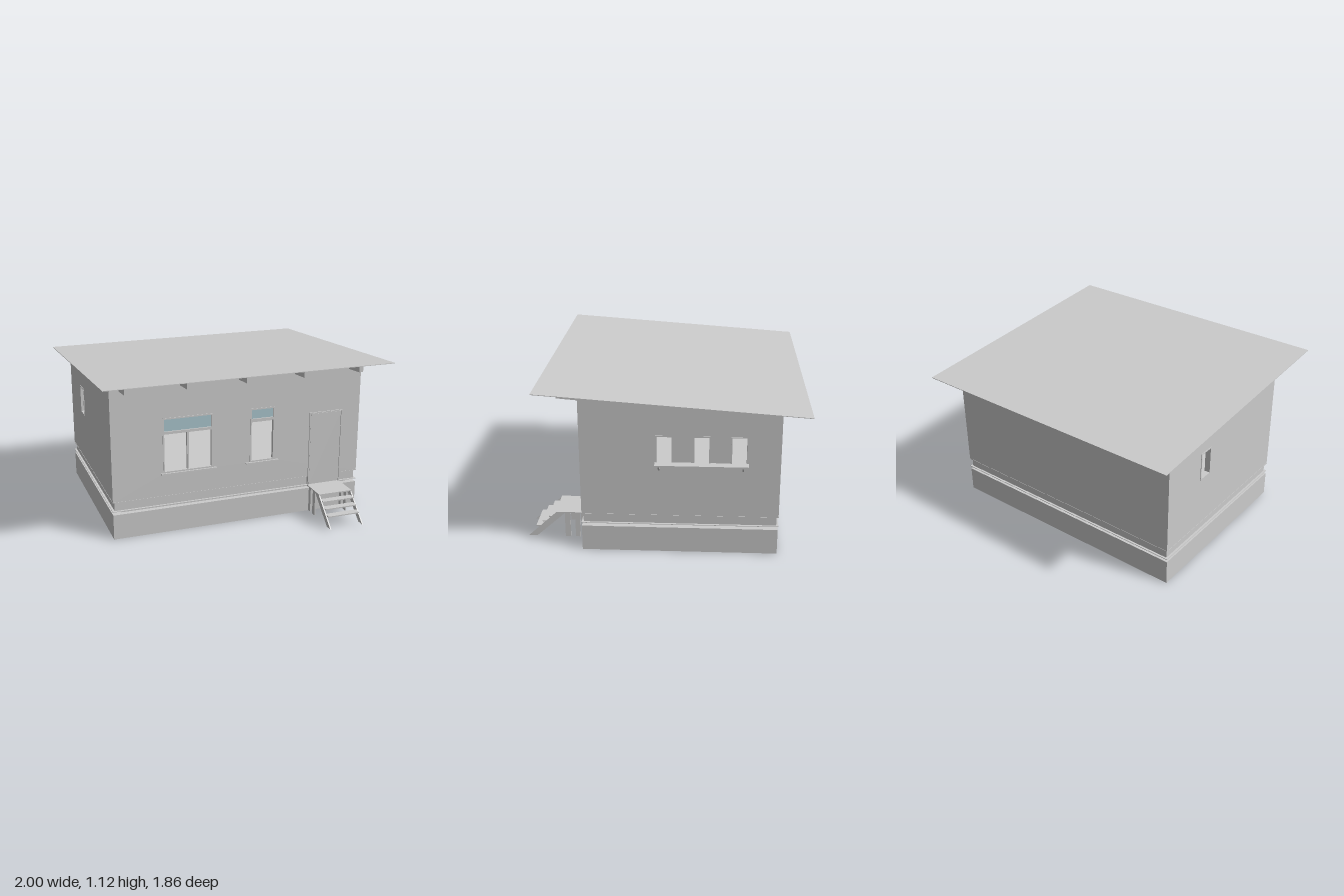
import * as THREE from 'three';

const grey = new THREE.MeshStandardMaterial({ color: 0xcccccc });
const glass = new THREE.MeshStandardMaterial({ color: 0xa9c4cc });

const X = 0.9, FRONT = 0.545, BACK = -0.745, T = 0.04, MIDZ = (FRONT + BACK) / 2;
const roofY = z => 1.12 - (0.82 - z) * 0.0716;

function add(parent, name, geometry, material = grey) {
  const mesh = new THREE.Mesh(geometry, material);
  mesh.name = name;
  parent.add(mesh);
  return mesh;
}

// box given by its limits
function box(parent, name, x0, x1, y0, y1, z0, z1, material) {
  const m = add(parent, name, new THREE.BoxGeometry(x1 - x0, y1 - y0, z1 - z0), material);
  m.position.set((x0 + x1) / 2, (y0 + y1) / 2, (z0 + z1) / 2);
  return m;
}

const rect = ([x0, x1, y0, y1]) => [[x0, y0], [x1, y0], [x1, y1], [x0, y1]];

// flat slab from an outline and rectangular openings
function slab(points, holes, depth) {
  const toVectors = p => p.map(([x, y]) => new THREE.Vector2(x, y));
  const shape = new THREE.Shape(toVectors(points));
  for (const h of holes) shape.holes.push(new THREE.Path(toVectors(rect(h)).reverse()));
  return new THREE.ExtrudeGeometry(shape, { depth, bevelEnabled: false });
}

// casing around an opening, outer face at z = 0 plus a small projection
function frame(parent, name, [x0, x1, y0, y1], w = 0.01, depth = 0.025) {
  const m = add(parent, name, slab(rect([x0, x1, y0, y1]), [[x0 + w, x1 - w, y0 + w, y1 - w]], depth));
  m.position.z = 0.004 - depth;
  return m;
}

function frontWindow(parent, name, o, transomY, sill, split) {
  const g = new THREE.Group();
  g.name = name;
  parent.add(g);
  const [x0, x1, y0, y1] = o;
  frame(g, 'windowFrame', o);
  box(g, 'transomBar', x0 + 0.01, x1 - 0.01, transomY - 0.018, transomY, -0.02, 0.002);
  box(g, 'transomGlass', x0 + 0.01, x1 - 0.01, transomY, y1 - 0.01, -0.012, -0.008, glass);
  if (split) {
    const c = (x0 + x1) / 2;
    box(g, 'mullion', c - 0.006, c + 0.006, y0, transomY - 0.018, -0.02, 0);
  }
  box(g, 'windowSill', sill[0], sill[1], y0 - 0.01, y0, -0.02, 0.015);
}

export function createModel() {
  const house = new THREE.Group();
  house.name = 'house';

  // stepped base
  box(house, 'foundation', -X, X, 0, 0.175, BACK + 0.002, FRONT);
  box(house, 'foundationGap', -0.835, 0.835, 0.17, 0.2, -0.705, 0.51);
  box(house, 'plinthBand', -0.887, 0.887, 0.2, 0.265, -0.733, 0.533);
  box(house, 'lowerDrip', -0.902, 0.902, 0.197, 0.201, -0.747, 0.547);
  box(house, 'upperDrip', -0.902, 0.902, 0.263, 0.267, -0.747, 0.547);

  // front and back walls
  const wide = [-0.55, -0.2, 0.43, 0.815], narrow = [0.07, 0.25, 0.43, 0.815];
  add(house, 'frontWall', slab(rect([-X, X, 0.265, roofY(FRONT - T) - 0.001]), [wide, narrow], T))
    .position.z = FRONT - T;
  box(house, 'backWall', -X, X, 0.265, roofY(BACK) - 0.001, BACK, BACK + T);

  // side walls, drawn with -z along the shape's x axis
  const z0 = FRONT - T, z1 = BACK + T;
  const sideOutline = [[-z0, 0.265], [-z1, 0.265], [-z1, roofY(z1) - 0.001], [-z0, roofY(z0) - 0.001]];
  const rightOpenings = [0, -0.24, -0.48].map(z => [-z - 0.055, -z + 0.055, 0.62, 0.825]);
  const leftOpening = [0.27, 0.385, 0.62, 0.825];
  const sideWall = (name, holes, x) => {
    const m = add(house, name, slab(sideOutline, holes, T));
    m.rotation.y = Math.PI / 2;
    m.position.x = x;
  };
  sideWall('windowSideWall', rightOpenings, X - T);
  sideWall('plainSideWall', [leftOpening], -X);

  // front windows
  const front = new THREE.Group();
  front.name = 'frontFittings';
  front.position.z = FRONT;
  house.add(front);
  frontWindow(front, 'wideWindow', wide, 0.72, [-0.565, -0.175], true);
  frontWindow(front, 'narrowWindow', narrow, 0.74, [0.04, 0.28], false);

  // door with jambs
  box(front, 'door', 0.525, 0.755, 0.205, 0.73, -0.02, 0.005);
  box(front, 'doorJamb', 0.515, 0.523, 0.2, 0.738, -0.02, 0.008);
  box(front, 'doorJamb', 0.757, 0.765, 0.2, 0.738, -0.02, 0.008);
  box(front, 'doorHead', 0.515, 0.765, 0.732, 0.74, -0.02, 0.008);

  // side window frames
  const right = new THREE.Group();
  right.name = 'servingSide';
  right.rotation.y = Math.PI / 2;
  right.position.x = X;
  house.add(right);
  for (const o of rightOpenings) frame(right, 'sideWindowFrame', o, 0.008, 0.03);
  const left = new THREE.Group();
  left.name = 'plainSideFittings';
  left.rotation.y = -Math.PI / 2;
  left.position.x = -X;
  house.add(left);
  frame(left, 'smallWindowFrame', [-0.385, -0.27, 0.62, 0.825], 0.008, 0.03);

  // shelf on triangular brackets
  box(house, 'shelf', X - 0.005, 0.96, 0.631, 0.643, -0.54, 0.06);
  for (const z of [0.035, -0.505]) {
    const bracket = slab([[X, 0.585], [0.94, 0.631], [0.925, 0.631], [X, 0.6]], [], 0.01);
    add(house, 'shelfBracket', bracket).position.z = z - 0.005;
  }

  // sloping sheet roof
  const roof = add(house, 'roof', new THREE.BoxGeometry(2, 0.004, Math.hypot(1.745, 0.125)));
  roof.position.set(0, roofY(-0.0525), -0.0525);
  roof.rotation.x = -Math.atan(0.0716);

  // rafter tails under the front eave
  for (let i = -2; i <= 2; i++) {
    const tail = slab([[-0.69, 1.04], [-FRONT, 1.028], [-FRONT, roofY(FRONT)], [-0.69, roofY(0.69)]], [], 0.03);
    const m = add(house, 'rafterTail', tail);
    m.rotation.y = Math.PI / 2;
    m.position.x = i * 0.41 - 0.015;
  }

  // porch landing, posts and stair
  const porch = new THREE.Group();
  porch.name = 'porch';
  house.add(porch);
  box(porch, 'landing', 0.513, 0.764, 0.194, 0.202, FRONT, 0.74);
  for (const x of [0.513, 0.756]) {
    box(porch, 'post', x, x + 0.008, 0.02, 0.195, 0.643, 0.68);
    box(porch, 'post', x, x + 0.008, 0.02, 0.195, 0.578, 0.61);
    const stringer = slab([[-0.93, 0.02], [-0.875, 0.02], [-0.68, 0.194], [-0.735, 0.2]], [], 0.008);
    const m = add(porch, 'stringer', stringer);
    m.rotation.y = Math.PI / 2;
    m.position.x = x;
  }
  for (let i = 0; i < 3; i++) {
    const y = 0.163 - i * 0.037, z = 0.74 + i * 0.045;
    box(porch, 'tread', 0.521, 0.756, y - 0.004, y + 0.004, z, z + 0.05);
  }
  return house;
}
